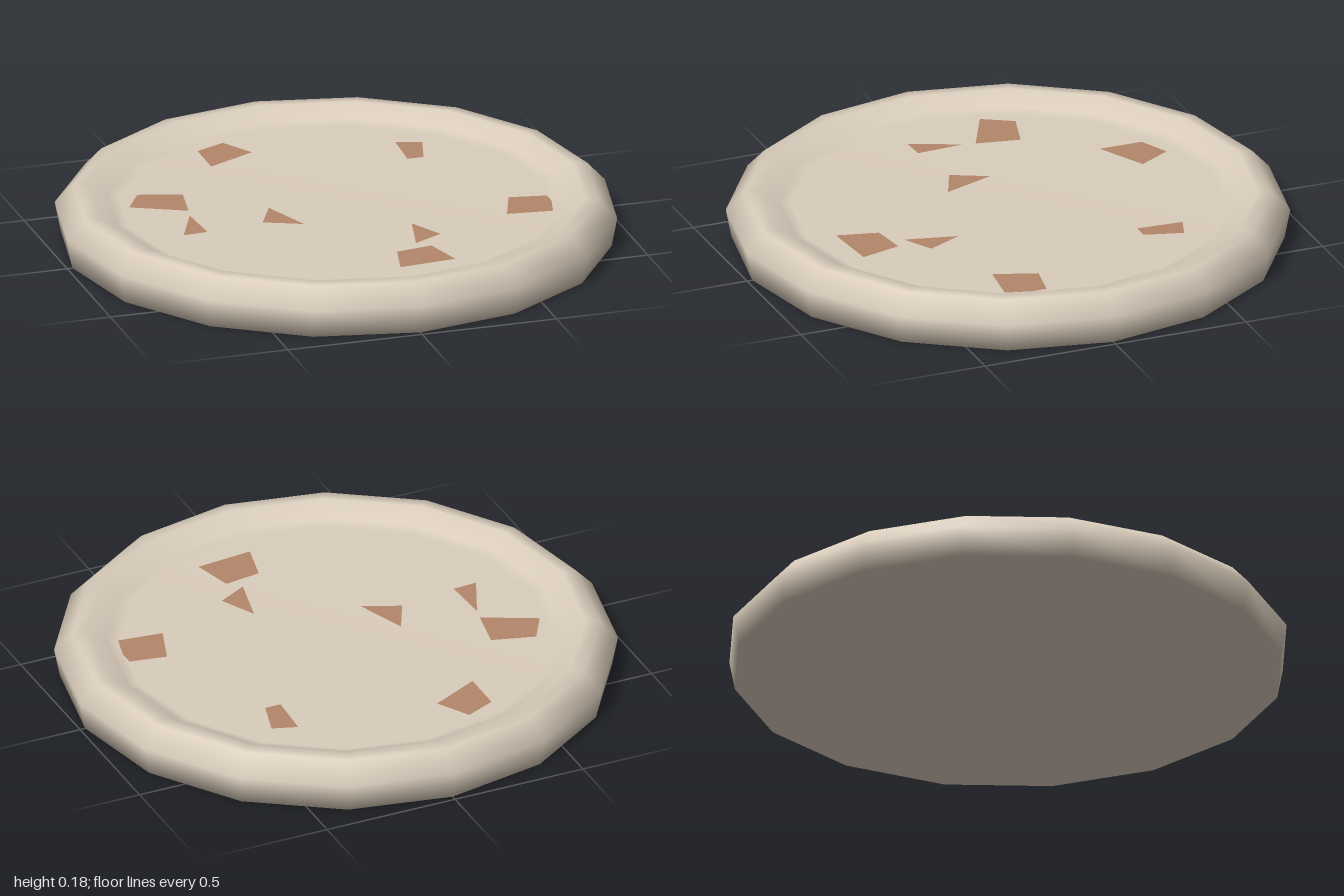
import * as THREE from 'three';

const clay = new THREE.MeshStandardMaterial({ name: 'pale clay', color: 0xd9ccbb });
const brown = new THREE.MeshStandardMaterial({ name: 'brown flake', color: 0xb3866a });

// Dish section, from the underside centre round the rim to the floor centre
const PROFILE = [
  [0, 0], [0.98, 0], [1, 0.105], [0.935, 0.175], [0.885, 0.178],
  [0.815, 0.14], [0.77, 0.126], [0, 0.126],
];

// Outlines of the flakes lying on the floor, as x, z corners
const FLAKES = [
  [[-0.31, -0.64], [-0.2, -0.69], [-0.13, -0.57], [-0.31, -0.48]],
  [[0.385, -0.51], [0.475, -0.48], [0.435, -0.34], [0.375, -0.34]],
  [[-0.645, -0.295], [-0.49, -0.25], [-0.52, -0.09], [-0.71, -0.185]],
  [[-0.53, -0.045], [-0.52, 0.13], [-0.61, 0.135]],
  [[-0.24, -0.03], [-0.17, 0.16], [-0.305, 0.1]],
  [[0.6, 0.13], [0.735, 0.155], [0.735, 0.21], [0.71, 0.305], [0.545, 0.285]],
  [[0.195, 0.27], [0.26, 0.4], [0.15, 0.46]],
  [[0.06, 0.52], [0.195, 0.5], [0.235, 0.65], [0.025, 0.67]],
];

export function createModel() {
  const model = new THREE.Group();
  model.name = 'dish';

  // Sixteen-sided dish with smooth shading
  const points = PROFILE.map(([r, y]) => new THREE.Vector2(r, y));
  const dish = new THREE.Mesh(new THREE.LatheGeometry(points, 16), clay);
  dish.name = 'dishBody';
  model.add(dish);

  // Flat flakes just above the floor
  const flakes = new THREE.Group();
  flakes.name = 'flakes';
  FLAKES.forEach((corners, i) => {
    const shape = new THREE.Shape(corners.map(([x, z]) => new THREE.Vector2(x, -z)));
    const flake = new THREE.Mesh(new THREE.ShapeGeometry(shape).rotateX(-Math.PI / 2), brown);
    flake.name = `flake${i + 1}`;
    flake.position.y = 0.131;
    flakes.add(flake);
  });
  model.add(flakes);

  return model;
}
